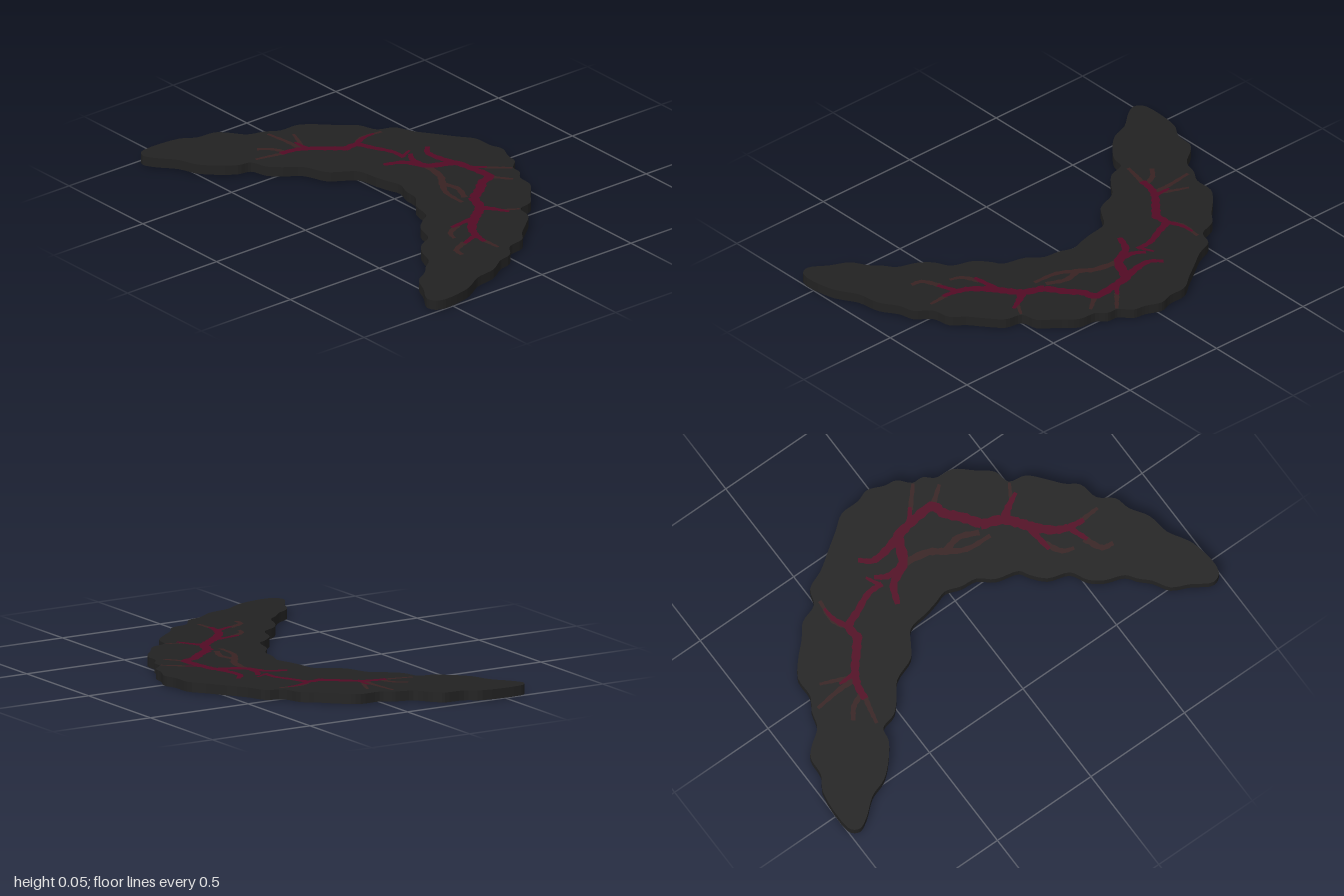
import * as THREE from 'three';
import { mergeGeometries } from 'three/addons/utils/BufferGeometryUtils.js';

const BASE = 0.002, TOP = 0.046;

// Convex rim of the crescent, left tip to right tip, as [x, z]
const OUTER = [
  [-1, 0.58], [-0.99, 0.39], [-0.95, 0.32], [-0.94, 0.23], [-0.905, 0.19], [-0.835, 0.135], [-0.81, 0.06],
  [-0.775, 0], [-0.77, -0.095], [-0.72, -0.165], [-0.65, -0.235], [-0.6, -0.295], [-0.515, -0.33],
  [-0.485, -0.4], [-0.4, -0.44], [-0.32, -0.495], [-0.24, -0.55], [-0.17, -0.6], [-0.08, -0.605],
  [-0.02, -0.623], [0.055, -0.595], [0.11, -0.585], [0.16, -0.535], [0.21, -0.53], [0.255, -0.495],
  [0.335, -0.485], [0.415, -0.42], [0.48, -0.365], [0.5, -0.295], [0.575, -0.275], [0.645, -0.2],
  [0.69, -0.145], [0.745, -0.1], [0.765, -0.015], [0.83, 0.04], [0.85, 0.11], [0.9, 0.19],
  [0.92, 0.295], [0.955, 0.355], [0.98, 0.405], [1, 0.54], [0.985, 0.585], [0.945, 0.6],
];
// Concave rim, right tip back to left tip
const INNER = [
  [0.86, 0.55], [0.78, 0.51], [0.735, 0.44], [0.69, 0.395], [0.655, 0.35], [0.565, 0.315], [0.51, 0.27],
  [0.47, 0.2], [0.375, 0.165], [0.32, 0.105], [0.295, 0.065], [0.19, 0.035], [0.125, -0.015],
  [0.05, -0.025], [-0.02, -0.047], [-0.08, -0.03], [-0.14, -0.015], [-0.24, 0.005], [-0.28, 0.06],
  [-0.32, 0.115], [-0.425, 0.16], [-0.48, 0.23], [-0.53, 0.28], [-0.605, 0.305], [-0.62, 0.365],
  [-0.69, 0.455], [-0.745, 0.5], [-0.825, 0.53], [-0.905, 0.595], [-0.955, 0.62], [-0.985, 0.608],
];

// Cracks: start width, end width, then [x, z] points
const BRIGHT = [
  [0.03, 0.04, [-0.59, 0.15], [-0.58, 0.08], [-0.55, 0.02], [-0.5, -0.04], [-0.45, -0.1]],
  [0.04, 0.022, [-0.45, -0.09], [-0.45, -0.16], [-0.38, -0.195], [-0.29, -0.235], [-0.22, -0.235]],
  [0.03, 0.012, [-0.45, -0.15], [-0.485, -0.23], [-0.49, -0.29]],
  [0.03, 0.012, [-0.55, 0.03], [-0.64, 0.03]],
  [0.022, 0.012, [-0.23, -0.235], [-0.26, -0.3]],
  [0.02, 0.045, [-0.24, -0.385], [-0.19, -0.345], [-0.09, -0.355], [0, -0.385]],
  [0.04, 0.045, [-0.01, -0.38], [0.08, -0.395], [0.17, -0.395], [0.185, -0.345], [0.24, -0.28], [0.29, -0.205]],
  [0.045, 0.045, [0.285, -0.205], [0.38, -0.165], [0.43, -0.105], [0.47, -0.05]],
  [0.045, 0.022, [0.465, -0.055], [0.54, 0.01], [0.595, 0.03], [0.66, 0.04]],
  [0.045, 0.015, [0.37, -0.155], [0.43, -0.2], [0.495, -0.235]],
  [0.05, 0.025, [-0.04, -0.37], [-0.09, -0.26], [-0.18, -0.205], [-0.22, -0.12]],
  [0.035, 0.02, [-0.1, -0.25], [-0.18, -0.25], [-0.23, -0.28]],
  [0.03, 0.015, [0.04, -0.39], [0.085, -0.45]],
  [0.035, 0.02, [0.445, -0.08], [0.46, 0.06]],
  [0.03, 0.02, [0.585, 0.03], [0.62, 0.12]],
];
const DULL = [
  [0.025, 0.015, [-0.585, 0.14], [-0.6, 0.2], [-0.615, 0.27]],
  [0.03, 0.015, [-0.56, 0.05], [-0.65, 0.05], [-0.78, 0.065]],
  [0.022, 0.012, [-0.57, 0.04], [-0.66, 0], [-0.71, -0.02]],
  [0.025, 0.02, [-0.585, 0.12], [-0.65, 0.15], [-0.69, 0.2]],
  [0.035, 0.025, [-0.1, -0.26], [0.03, -0.235], [0.09, -0.2], [0.17, -0.215], [0.26, -0.18]],
  [0.03, 0.018, [0.08, -0.2], [0.17, -0.15], [0.29, -0.14]],
  [0.025, 0.015, [0.08, -0.44], [0.16, -0.53]],
  [0.03, 0.015, [0.16, -0.39], [0.25, -0.46]],
  [0.02, 0.012, [0.46, -0.22], [0.5, -0.29]],
  [0.025, 0.015, [0.65, 0.035], [0.74, 0.03]],
  [0.03, 0.015, [0.46, 0.03], [0.5, 0.1], [0.55, 0.12]],
  [0.03, 0.02, [0.61, 0.11], [0.65, 0.19], [0.7, 0.2]],
  [0.03, 0.015, [-0.45, -0.16], [-0.49, -0.22], [-0.485, -0.33]],
];

// Flat tapering ribbon facing up (side 1) or down (side -1)
function ribbon([w0, w1, ...pts], y, side) {
  const curve = new THREE.CatmullRomCurve3(pts.map(([x, z]) => new THREE.Vector3(x, y, z)));
  const steps = pts.length * 4, pos = [], nor = [], index = [];
  for (let i = 0; i <= steps; i++) {
    const t = i / steps, p = curve.getPoint(t), d = curve.getTangent(t);
    const w = THREE.MathUtils.lerp(w0, w1, t) / 2 * (1 + 0.15 * Math.sin(i * 2.3));
    pos.push(p.x + d.z * w, y, p.z - d.x * w, p.x - d.z * w, y, p.z + d.x * w);
    nor.push(0, side, 0, 0, side, 0);
    if (i === steps) break;
    const a = i * 2;
    if (side > 0) index.push(a, a + 1, a + 2, a + 1, a + 3, a + 2);
    else index.push(a, a + 2, a + 1, a + 1, a + 2, a + 3);
  }
  const g = new THREE.BufferGeometry();
  g.setAttribute('position', new THREE.Float32BufferAttribute(pos, 3));
  g.setAttribute('normal', new THREE.Float32BufferAttribute(nor, 3));
  g.setIndex(index);
  return g;
}

export function createModel() {
  const group = new THREE.Group();
  const material = (name, color) => Object.assign(new THREE.MeshStandardMaterial({ color }), { name });
  const charcoal = material('charcoal', 0x222222);
  const crimson = material('crimson', 0x520a24);
  const rust = material('dullBrown', 0x382222);

  const add = (name, geometry, mat) => {
    const mesh = new THREE.Mesh(geometry, mat);
    mesh.name = name;
    group.add(mesh);
  };

  // Ragged crescent slab
  const rim = new THREE.CatmullRomCurve3(
    [...OUTER, ...INNER].map(([x, z]) => new THREE.Vector3(x, -z, 0)), true, 'centripetal');
  const shape = new THREE.Shape(rim.getPoints(296).slice(0, -1).map(p => new THREE.Vector2(p.x, p.y)));
  const slab = new THREE.ExtrudeGeometry(shape, { depth: TOP - BASE, bevelEnabled: false });
  slab.rotateX(-Math.PI / 2).translate(0, BASE, 0);
  add('crescentSlab', slab, charcoal);

  // Branching cracks on both faces
  for (const [face, y, side] of [['top', TOP, 1], ['bottom', BASE, -1]]) {
    add(face + 'DullCracks', mergeGeometries(DULL.map(c => ribbon(c, y + side * 0.001, side))), rust);
    add(face + 'BrightCracks', mergeGeometries(BRIGHT.map(c => ribbon(c, y + side * 0.002, side))), crimson);
  }
  return group;
}
